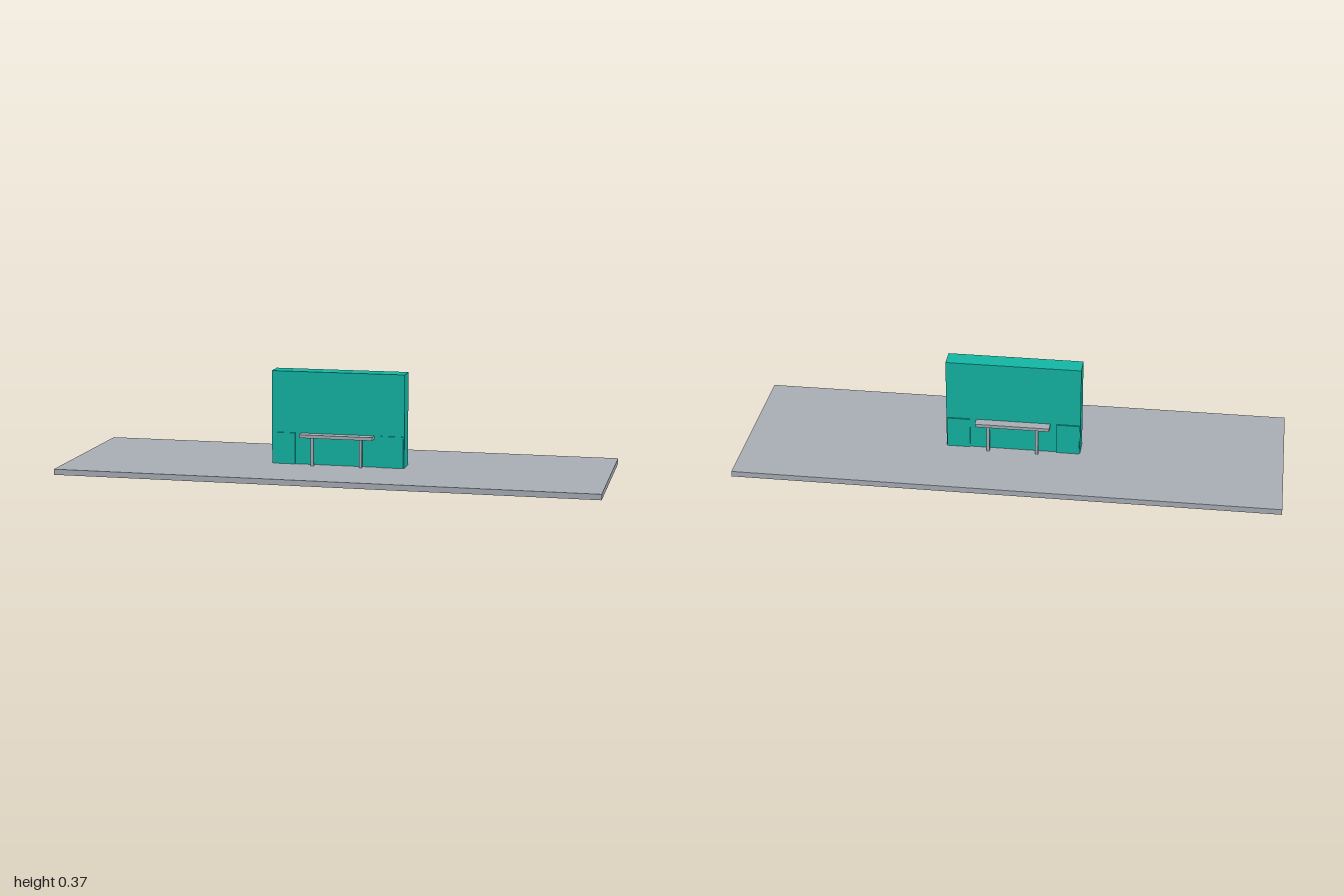
import * as THREE from 'three';

export function createModel() {
  const model = new THREE.Group();
  const concrete = new THREE.MeshStandardMaterial({ color: 0xabb1b9 });
  concrete.name = 'concrete grey';
  const teal = new THREE.MeshStandardMaterial({ color: 0x14b8a6 });
  teal.name = 'teal paint';

  // Box given by its min and max corners
  const box = (name, material, [x0, y0, z0], [x1, y1, z1], parent = model) => {
    const mesh = new THREE.Mesh(new THREE.BoxGeometry(x1 - x0, y1 - y0, z1 - z0), material);
    mesh.position.set((x0 + x1) / 2, (y0 + y1) / 2, (z0 + z1) / 2);
    mesh.name = name;
    parent.add(mesh);
  };

  const floor = 0.021, seatTop = 0.138, seatBottom = 0.126, wallFace = 0.037;

  // Platform slab and the central wall
  box('platform', concrete, [-1, 0, -0.333], [1, floor, 0.333]);
  box('wall', teal, [-0.25, floor, -wallFace], [0.25, 0.368, wallFace]);

  // Each face of the wall has a bench between two raised panels
  for (const side of ['front', 'back']) {
    const face = new THREE.Group();
    face.name = side + 'Face';
    if (side === 'back') face.rotation.y = Math.PI;
    model.add(face);

    box('seat', concrete, [-0.138, seatBottom, wallFace], [0.138, seatTop, 0.075], face);
    for (const s of [-1, 1]) {
      const leg = s * 0.091, panel = s * 0.204;
      box('seatLeg', concrete, [leg - 0.0055, floor, 0.053], [leg + 0.0055, seatBottom, 0.064], face);
      box('lowerPanel', teal, [panel - 0.043, floor, wallFace], [panel + 0.043, seatTop, 0.042], face);
    }
  }
  return model;
}
